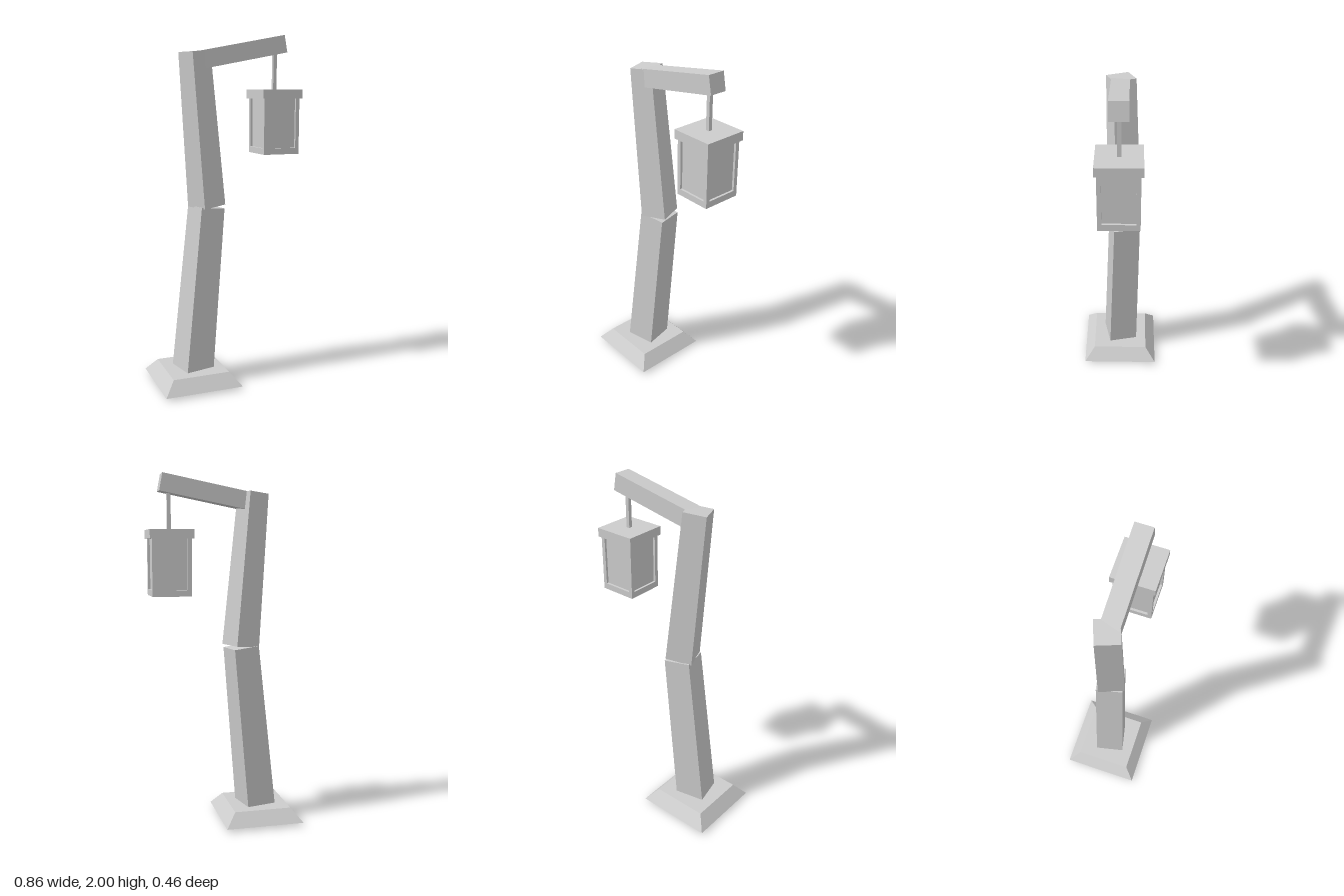
import * as THREE from 'three';

export function createModel() {
  const group = new THREE.Group();
  const grey = new THREE.MeshStandardMaterial({ color: 0xcccccc });
  grey.name = 'light grey';

  function add(name, geometry, parent = group) {
    const mesh = new THREE.Mesh(geometry, grey);
    mesh.name = name;
    parent.add(mesh);
    return mesh;
  }

  function box(name, size, position, parent) {
    const mesh = add(name, new THREE.BoxGeometry(...size), parent);
    mesh.position.set(...position);
    return mesh;
  }

  // Square tapered prism between two centres; slope tips both end faces down towards local +x
  function prism(name, bottom, top, bottomSize, topSize, yaw = 0, slope = 0) {
    const geometry = new THREE.BoxGeometry(1, 1, 1);
    const p = geometry.attributes.position;
    const c = Math.cos(yaw), s = Math.sin(yaw);
    for (let i = 0; i < p.count; i++) {
      const upper = p.getY(i) > 0;
      const centre = upper ? top : bottom;
      const size = upper ? topSize : bottomSize;
      const lx = p.getX(i) * size, lz = p.getZ(i) * size;
      p.setXYZ(i, centre[0] + lx * c + lz * s, centre[1] - lx * slope, centre[2] - lx * s + lz * c);
    }
    geometry.computeVertexNormals();
    return add(name, geometry);
  }

  // Bevelled foot and the two leaning halves of the post
  prism('base', [-0.202, 0.015, 0], [-0.202, 0.09, 0], 0.456, 0.333);
  prism('lowerPost', [-0.206, 0.009, 0.001], [-0.103, 1.032, -0.024], 0.177, 0.152, 0.215, 0.1);
  prism('upperPost', [-0.101, 1.038, -0.023], [-0.176, 1.903, -0.003], 0.152, 0.125, 0.36, -0.09);

  // Arm rising away from the top of the post
  const tilt = THREE.MathUtils.degToRad(10.8);
  const armLength = 0.545;
  const arm = box('arm', [armLength, 0.098, 0.098], [
    0.355 - Math.cos(tilt) * armLength / 2,
    1.951 - Math.sin(tilt) * armLength / 2,
    0,
  ]);
  arm.rotation.z = tilt;

  // Lantern hanging from the arm
  const lantern = new THREE.Group();
  lantern.name = 'lantern';
  lantern.position.set(0.307, 0, -0.001);
  group.add(lantern);
  box('hanger', [0.021, 0.24, 0.021], [0, 1.8, 0], lantern);
  box('lanternCap', [0.242, 0.05, 0.242], [0, 1.67, 0], lantern);
  box('lanternPane', [0.192, 0.29, 0.192], [0, 1.505, 0], lantern);
  box('lanternFloor', [0.218, 0.035, 0.218], [0, 1.3475, 0], lantern);
  for (const x of [-1, 1]) {
    for (const z of [-1, 1]) {
      box('lanternCorner', [0.022, 0.28, 0.022], [x * 0.098, 1.505, z * 0.098], lantern);
    }
  }

  return group;
}
